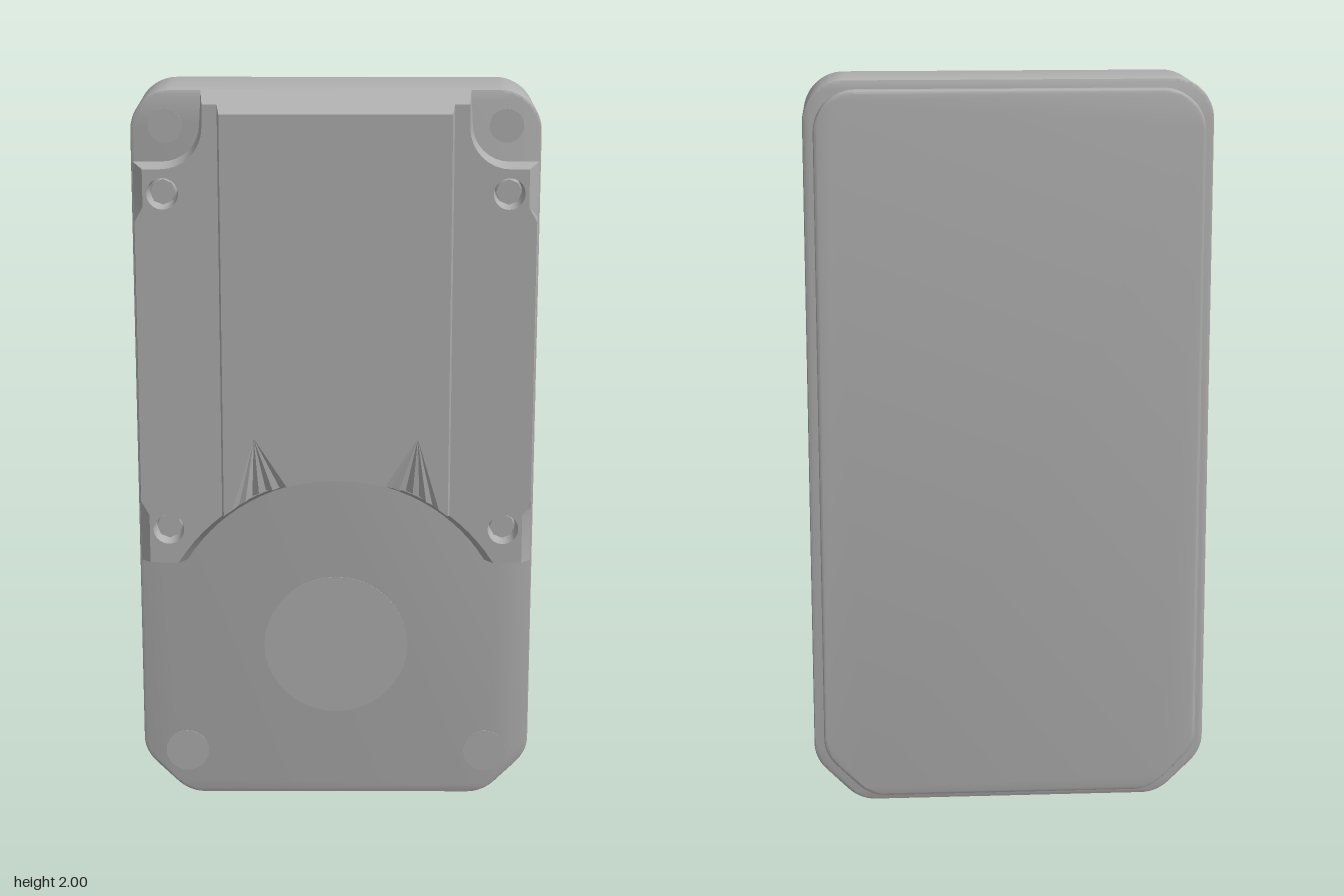
import * as THREE from 'three';
import { toCreasedNormals } from 'three/addons/utils/BufferGeometryUtils.js';

const rad = THREE.MathUtils.degToRad;
const ARC_Y = 0.45; // centre of the round cut-out below the raised panels

const arcPoint = (r, deg) => [r * Math.sin(rad(deg)), ARC_Y + r * Math.cos(rad(deg))];

// Circle as a point ring
function ring(x, y, r, n = 20) {
  return Array.from({ length: n }, (_, i) => {
    const a = (i / n) * Math.PI * 2;
    return [x + r * Math.cos(a), y + r * Math.sin(a)];
  });
}

// Tapered slab between two matching outlines, with tapered holes
function loft(lower, upper, z0, z1, holes = []) {
  const pos = [];
  const wall = (a, b) => {
    for (let i = 0; i < a.length; i++) {
      const j = (i + 1) % a.length;
      pos.push(...a[i], z0, ...a[j], z0, ...b[j], z1, ...a[i], z0, ...b[j], z1, ...b[i], z1);
    }
  };
  wall(lower, upper);
  holes.forEach((h) => wall([...h.lower].reverse(), [...h.upper].reverse()));
  const v = (p) => new THREE.Vector2(...p);
  const contour = upper.map(v);
  const inner = holes.map((h) => h.upper.map(v).reverse());
  const all = [contour, ...inner].flat();
  for (const f of THREE.ShapeUtils.triangulateShape(contour, inner)) {
    for (const i of f) pos.push(all[i].x, all[i].y, z1);
  }
  const g = new THREE.BufferGeometry();
  g.setAttribute('position', new THREE.Float32BufferAttribute(pos, 3));
  return toCreasedNormals(g, 0.5);
}

// Case outline: round top corners, softened diagonal bottom corners
function caseShape(w, y0, y1) {
  const s = new THREE.Shape();
  s.moveTo(-w + 0.17, y0);
  s.lineTo(w - 0.17, y0);
  s.quadraticCurveTo(w - 0.125, y0, w - 0.09, y0 + 0.035);
  s.lineTo(w - 0.035, y0 + 0.09);
  s.quadraticCurveTo(w, y0 + 0.125, w, y0 + 0.17);
  s.lineTo(w, y1 - 0.11);
  s.absarc(w - 0.11, y1 - 0.11, 0.11, 0, Math.PI / 2, false);
  s.lineTo(-w + 0.11, y1);
  s.absarc(-w + 0.11, y1 - 0.11, 0.11, Math.PI / 2, Math.PI, false);
  s.lineTo(-w, y0 + 0.17);
  s.quadraticCurveTo(-w, y0 + 0.125, -w + 0.035, y0 + 0.09);
  s.lineTo(-w + 0.09, y0 + 0.035);
  s.quadraticCurveTo(-w + 0.125, y0, -w + 0.17, y0);
  return s;
}

function slab(shape, z0, z1, bevel) {
  const g = new THREE.ExtrudeGeometry(shape, {
    depth: z1 - z0 - 2 * bevel, bevelThickness: bevel, bevelSize: bevel,
    bevelOffset: -bevel, bevelSegments: 2, curveSegments: 12,
  });
  g.translate(0, 0, z0 + bevel);
  return toCreasedNormals(g, 0.5);
}

// Right half of the raised panel outline; t = 0 at its foot, 1 at its face
function panelOutline(t) {
  const half = [];
  for (let i = 0; i <= 14; i++) half.push(arcPoint(0.48 + 0.025 * t, (58.6 * i) / 14));
  const x = 0.538 - 0.008 * t;
  const dent = 0.508 + 0.03 * (1 - t); // edge pulled in beside each screw
  half.push([dent, 0.7 + 0.015 * t], [dent, 0.85], [x, 0.89], [x, 1.66], [dent, 1.7], [dent, 1.81 - 0.01 * t]);
  const r = 0.1 + 0.01 * t;
  for (let i = 0; i <= 8; i++) {
    const a = (i / 8) * Math.PI / 2;
    half.push([0.46 - r * Math.sin(a), 1.91 - r * Math.cos(a)]);
  }
  half.push([0.355 - 0.006 * t, 1.998 - 0.028 * t]);
  const mirrored = half.slice(1).reverse().map(([px, py]) => [-px, py]);
  return [...half, ...mirrored];
}

// Middle panel with two notches that hold the fluted scoops
function middleOutline(t) {
  const w = 0.31 - 0.007 * t;
  const r = 0.505 + 0.007 * t;
  const end = THREE.MathUtils.radToDeg(Math.asin(w / r));
  const pts = [arcPoint(r, -end), arcPoint(r, -33), [-0.22, 1.08]];
  for (let a = -15; a <= 15; a += 3) pts.push(arcPoint(r, a));
  pts.push([0.22, 1.08], arcPoint(r, 33), arcPoint(r, end));
  pts.push([w, 1.97 - 0.02 * t], [-w, 1.97 - 0.02 * t]);
  return pts;
}

// Fluted scoop: a fan of facets dipping towards the round cut-out
function scoop(side) {
  const depth = [0.213, 0.2, 0.204, 0.178, 0.186, 0.178, 0.204, 0.2, 0.213];
  const edge = depth.map((z, i) => [...arcPoint(0.512, side * (15 + (18 * i) / 8)), z]);
  const pos = [];
  for (let i = 0; i < 8; i++) {
    let [a, b] = [edge[i], edge[i + 1]];
    if (side < 0) [a, b] = [b, a];
    const a0 = [a[0], a[1], 0.166];
    const b0 = [b[0], b[1], 0.166];
    pos.push(side * 0.22, 1.08, 0.213, ...a, ...b, ...a, ...a0, ...b0, ...a, ...b0, ...b);
  }
  const g = new THREE.BufferGeometry();
  g.setAttribute('position', new THREE.Float32BufferAttribute(pos, 3));
  g.computeVertexNormals();
  return g;
}

export function createModel() {
  const model = new THREE.Group();
  model.name = 'caseModel';
  const grey = new THREE.MeshStandardMaterial({ color: 0xb0b0b0, side: THREE.DoubleSide });
  grey.name = 'plain grey';

  // The whole case leans very slightly forward
  const body = new THREE.Group();
  body.name = 'case';
  body.position.y = 1;
  body.rotation.x = 0.006;
  model.add(body);
  const add = (name, geometry) => {
    const m = new THREE.Mesh(geometry, grey);
    m.name = name;
    m.position.y = -1;
    body.add(m);
    return m;
  };

  add('caseBody', slab(caseShape(0.542, 0, 2), -0.163, 0.1, 0.008));
  add('backPlate', slab(caseShape(0.514, 0.03, 1.975), -0.18, -0.212, 0).scale(1, 1, 1));
  body.children.pop();
  add('backPlate', slab(caseShape(0.514, 0.03, 1.975), -0.212, -0.155, 0.008));

  // Raised panel with screw holes
  const screws = [-1, 1].flatMap((s) => [[s * 0.456, 0.81], [s * 0.456, 1.735]]);
  const holes = screws.map(([x, y]) => ({ lower: ring(x, y, 0.036), upper: ring(x, y, 0.042) }));
  add('raisedPanel', loft(panelOutline(0), panelOutline(1), 0.098, 0.166, holes));
  for (const [x, y] of screws) {
    add('screw', new THREE.CylinderGeometry(0.034, 0.036, 0.04, 8).rotateX(Math.PI / 2).translate(x, y, 0.115));
  }

  // Middle panel and its scoops
  add('middlePanel', loft(middleOutline(0), middleOutline(1), 0.165, 0.213));
  for (const s of [-1, 1]) add('scoop', scoop(s));

  // Faint round pads on the lower front and the corners
  const pad = (name, x, y, r) =>
    add(name, new THREE.CylinderGeometry(r, r, 0.003, 40).rotateX(Math.PI / 2).translate(x, y, 0.1));
  pad('frontDisc', 0, ARC_Y, 0.2);
  for (const s of [-1, 1]) {
    pad('upperPad', s * 0.45, 1.905, 0.045);
    pad('lowerPad', s * 0.42, 0.13, 0.06);
  }
  return model;
}
